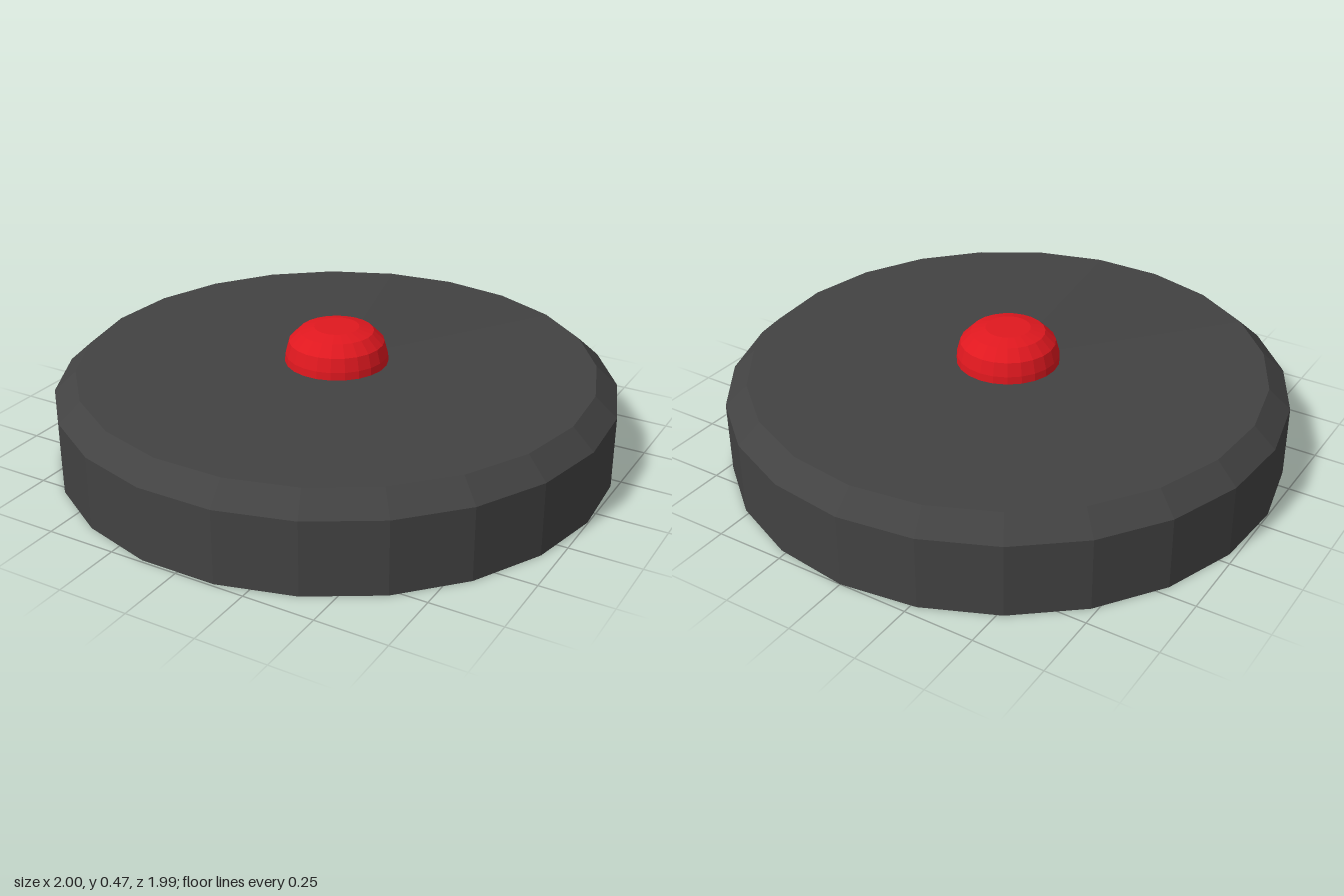
import * as THREE from 'three';

const SIDES = 23;

// Flat-shaded turned part from [radius, height] pairs, with a corner at the back
function turned(name, profile, color) {
  const points = profile.map(([r, y]) => new THREE.Vector2(r, y));
  const geometry = new THREE.LatheGeometry(points, SIDES, Math.PI);
  const material = new THREE.MeshStandardMaterial({ color, flatShading: true });
  const mesh = new THREE.Mesh(geometry, material);
  mesh.name = name;
  return mesh;
}

export function createModel() {
  const model = new THREE.Group();
  model.name = 'buttonDisc';

  // Disc body: flat underside, straight wall, bevel and slightly domed top
  model.add(turned('discBody', [
    [0, 0], [1, 0], [1, 0.262], [0.922, 0.333], [0, 0.345],
  ], 0x424242));

  // Rounded push button with a flat top
  model.add(turned('pushButton', [
    [0.185, 0.335], [0.183, 0.37], [0.17, 0.418], [0.132, 0.456], [0.08, 0.47], [0, 0.47],
  ], 0xe0181f));

  return model;
}
